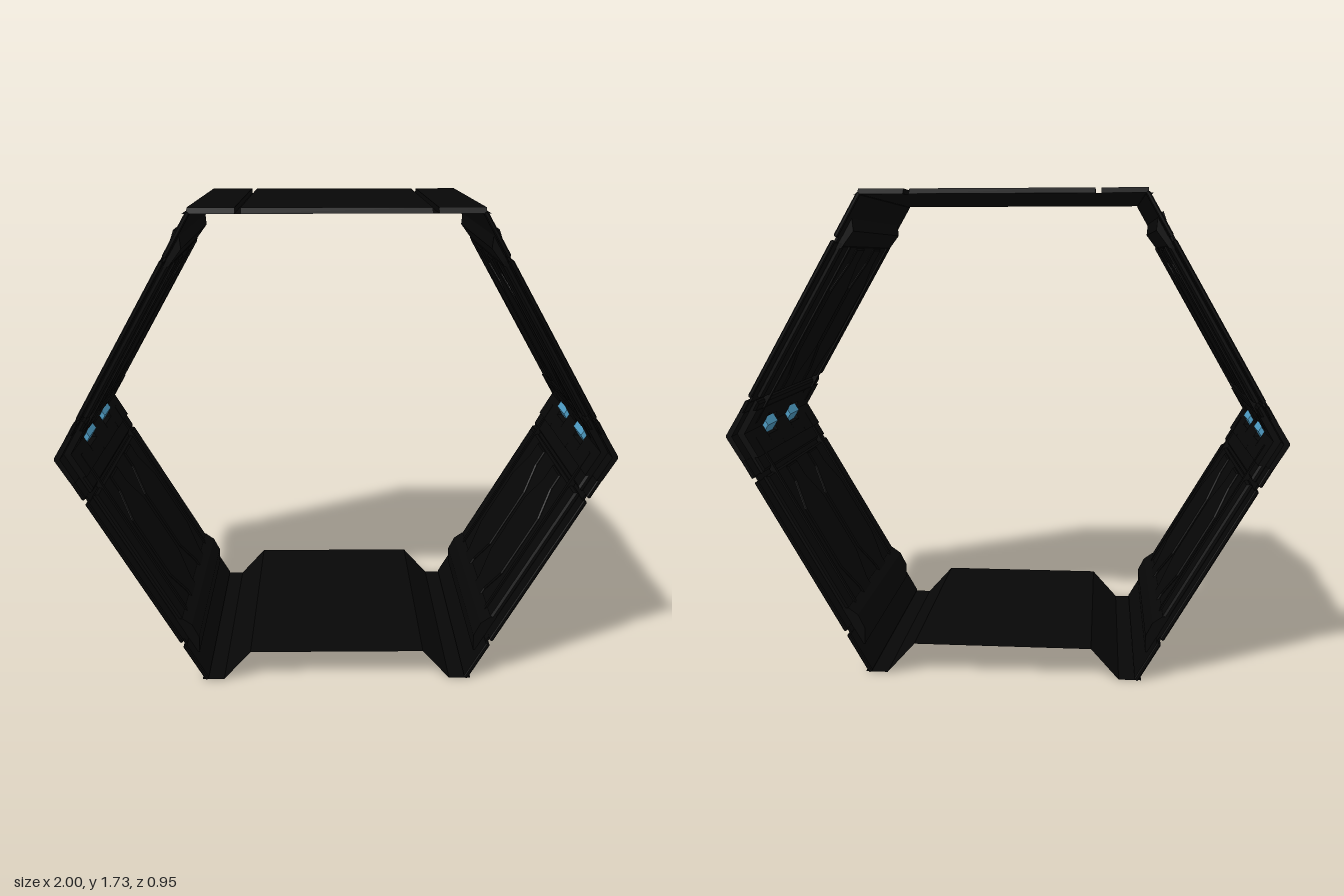
import * as THREE from 'three';

const H = Math.sqrt(3) / 2; // half height of the hexagon (side length 1)
const DEPTH = 0.475;        // half depth of the thin outer skin
const INNER = 0.415;        // half depth of the thicker inner lining

export function createModel() {
  const dark = new THREE.MeshStandardMaterial({ color: 0x070707, flatShading: true });
  const sheetMat = new THREE.MeshStandardMaterial({ color: 0x070707, flatShading: true, side: THREE.DoubleSide });
  const glow = new THREE.MeshStandardMaterial({ color: 0x4f9fc8 });
  const model = new THREE.Group();

  const add = (parent, name, geo, mat = dark) => {
    const m = new THREE.Mesh(geo, mat);
    m.name = name;
    parent.add(m);
    return m;
  };
  // box given by its limits
  const box = (parent, name, x0, x1, y0, y1, z0, z1) =>
    add(parent, name, new THREE.BoxGeometry(x1 - x0, y1 - y0, z1 - z0)
      .translate((x0 + x1) / 2, (y0 + y1) / 2, (z0 + z1) / 2));
  const shapeOf = (pts) => new THREE.Shape(pts.map(([a, b]) => new THREE.Vector2(a, b)));
  // xy cross-section run along z
  const run = (pts, z0, z1) =>
    new THREE.ExtrudeGeometry(shapeOf(pts), { depth: z1 - z0, bevelEnabled: false }).translate(0, 0, z0);
  // outline in the panel plane, raised from y0 to y1 with a bevelled rim
  const boss = (parent, name, pts, y0, y1, b = 0.005) => {
    const g = new THREE.ExtrudeGeometry(shapeOf(pts),
      { depth: y1 - y0 - 2 * b, bevelThickness: b, bevelSize: b, bevelOffset: -b, bevelSegments: 1 });
    g.rotateX(Math.PI / 2).translate(0, y1 - b, 0);
    return add(parent, name, g);
  };
  const rect = (u0, u1, z) => [[u0, -z], [u1, -z], [u1, z], [u0, z]];

  // long channel cover, wide in the middle with a narrow neck at both ends
  const cover = (u, z) => {
    const half = [[0.185, 0.062], [0.25, 0.062], [0.36, 0.125], [0.62, 0.125], [0.73, 0.062], [0.795, 0.062]];
    return [...half.map(([a, w]) => [a + u, z - w]), ...half.reverse().map(([a, w]) => [a + u, z + w])];
  };

  // slanted wall: local x runs from the side corner along the wall, local y points outward
  function wall(lower) {
    const g = new THREE.Group();
    g.name = lower ? 'lowerWall' : 'upperWall';
    const end = lower ? 1.008 : 0.992;
    const shift = lower ? 0.025 : 0;
    box(g, 'wallBacking', 0.05, end - 0.02, -0.023, -0.015, -0.453, 0.453);
    const plates = [[0.08, 0.158 + shift], [0.174 + shift, 0.806 + shift], [0.822 + shift, end]];
    plates.forEach(([u0, u1], i) => {
      boss(g, 'wallPlate', rect(u0, u1, DEPTH), -0.024, -0.008, 0.004);
      if (i < 2) boss(g, 'wallLining', rect(u0, u1, INNER), -0.044, -0.018, 0.008);
    });
    for (const s of [-1, 1]) {
      boss(g, 'outerCover', cover(shift, s * 0.145), -0.02, 0);
      boss(g, 'innerCover', cover(shift, s * 0.145), -0.051, -0.03);
      box(g, 'outerRib', 0, end - 0.01, -0.02, -0.001, s * 0.325 - 0.01, s * 0.325 + 0.01);
      box(g, 'innerRib', 0.06, 0.8, -0.05, -0.03, s * 0.325 - 0.01, s * 0.325 + 0.01);
      if (lower) {
        const z = s * 0.15;
        boss(g, 'footTab', [[0.925, z - 0.08], [0.925, z + 0.08], [0.998, z + 0.12], [0.998, z - 0.12]], -0.02, 0);
      }
    }
    // place on the upper +x side
    g.position.set(1, 0, 0);
    g.rotation.order = 'ZXY';
    g.rotation.set(Math.PI, 0, 2 * Math.PI / 3);
    return g;
  }

  // side corner: bent strip interrupted by two light slots
  function corner() {
    const g = new THREE.Group();
    g.name = 'sideCorner';
    const bend = (t) => [
      [0.94, 0.086], [0.99, 0.004], [0.99, -0.004], [0.94, -0.086],
      [0.94 - t, -0.086], [0.99 - t, 0], [0.94 - t, 0.086],
    ];
    for (const [z0, z1] of [[-DEPTH, -0.205], [-0.085, 0.085], [0.205, DEPTH]]) {
      add(g, 'cornerStrip', run(bend(0.02), z0, z1));
      add(g, 'cornerLining', run(bend(0.046), Math.max(z0, -INNER), Math.min(z1, INNER)));
    }
    const jamb = [[0.94, 0.086], [0.97, 0.036], [0.922, 0.036], [0.895, 0.086]];
    const light = [[0.922, 0], [0.947, 0.04], [0.972, 0], [0.947, -0.04]];
    for (const s of [-1, 1]) {
      const z0 = s * 0.145 - 0.061;
      const z1 = s * 0.145 + 0.061;
      // slot ends above and below the light
      for (const flip of [0, Math.PI])
        add(g, 'slotEdge', run(jamb, z0, z1)).rotation.x = flip;
      add(g, 'cornerLight', run(light, z0, z1), glow);
    }
    return g;
  }

  // both sides, the second turned half round
  for (const turn of [0, Math.PI]) {
    const side = new THREE.Group();
    side.name = turn ? 'rightSide' : 'leftSide';
    side.position.y = H;
    side.rotation.y = turn;
    side.add(corner(), wall(false));
    const low = new THREE.Group();
    low.name = 'lowerHalf';
    low.rotation.x = Math.PI;
    low.add(wall(true));
    side.add(low);
    // inner ledges under the ceiling and along the floor
    const ledges = {
      ceilingLedge: [[0.548, 1.655], [0.53, 1.645], [0.525, 1.59], [0.57, 1.53], [0.6, 1.53], [0.56, 1.62]],
      floorLedge: [[0.535, 0.085], [0.515, 0.085], [0.515, 0.145], [0.54, 0.195], [0.575, 0.22], [0.605, 0.22]],
    };
    for (const [name, pts] of Object.entries(ledges))
      add(side, name, run(pts, -INNER, INNER)).position.y = -H;
    model.add(side);
  }

  // thin sheet between two points of the xy section, along the whole depth
  const sheet = (name, [x0, y0], [x1, y1]) => {
    const m = add(model, name, new THREE.PlaneGeometry(Math.hypot(x1 - x0, y1 - y0), 2 * DEPTH).rotateX(-Math.PI / 2), sheetMat);
    m.position.set((x0 + x1) / 2, (y0 + y1) / 2, 0);
    m.rotation.z = Math.atan2(y1 - y0, x1 - x0);
  };

  // ceiling: sheet with three bevelled plates on it
  sheet('ceilingSheet', [-0.51, 1.713], [0.51, 1.713]);
  const section = [[-DEPTH, 1.713], [DEPTH, 1.713], [0.457, 2 * H], [-0.457, 2 * H]];
  for (const [x0, x1] of [[-0.495, -0.337], [-0.317, 0.317], [0.337, 0.495]])
    add(model, 'ceilingPlate', run(section, x0, x1).rotateY(Math.PI / 2));

  // raised floor with sloping sides and a gutter along each wall
  const floor = [[-0.5, 0.002], [-0.42, 0.002], [-0.32, 0.113], [0.32, 0.113], [0.42, 0.002], [0.5, 0.002]];
  const names = ['gutter', 'floorSlope', 'floor', 'floorSlope', 'gutter'];
  names.forEach((name, i) => sheet(name, floor[i], floor[i + 1]));
  return model;
}
